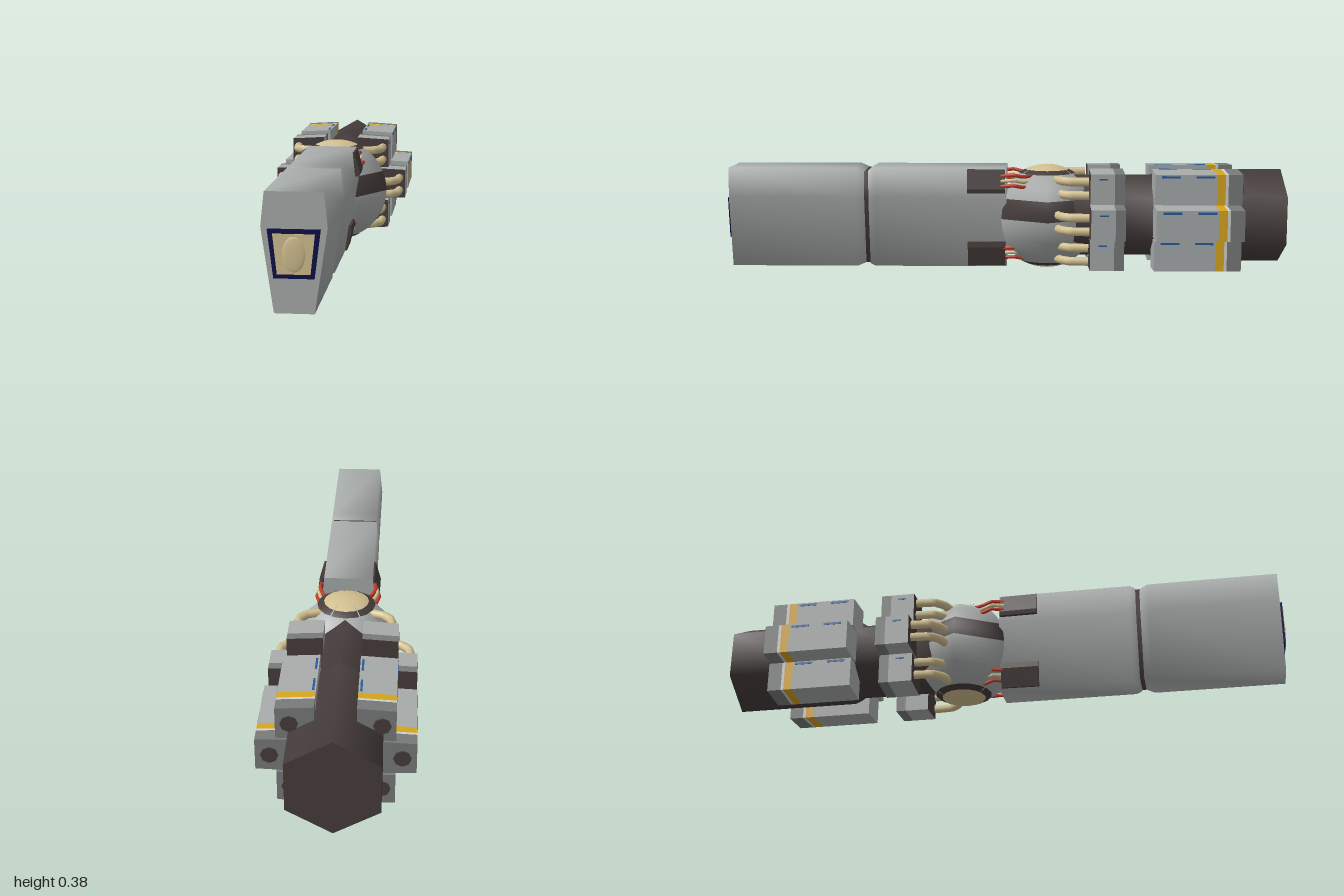
import * as THREE from 'three';

const paint = (name, color) => Object.assign(new THREE.MeshStandardMaterial({ color }), { name });
const M = {
  light: paint('light grey', 0xa7abaa), mid: paint('mid grey', 0x777a79),
  dark: paint('dark brown', 0x453c3b), tan: paint('tan', 0xd2bf90),
  navy: paint('navy', 0x0b0b48), yellow: paint('yellow', 0xd6a51e),
  pale: paint('pale grey', 0xd0d2d0), red: paint('red', 0xc23a28), blue: paint('blue', 0x2a5a9c),
};

// Loft a counter-clockwise ring [x, y] through stations [z, scale], back to front
function loft(ring, stations, cy, smooth) {
  const n = ring.length, pos = [], idx = [];
  const put = ([x, y], [z, s]) => pos.push(x * s, cy + (y - cy) * s, z);
  stations.forEach(st => ring.forEach(p => put(p, st)));
  for (let i = 0; i < stations.length - 1; i++) {
    for (let j = 0; j < n; j++) {
      const k = (j + 1) % n, a = i * n + j, b = i * n + k;
      idx.push(a, b, b + n, a, b + n, a + n);
    }
  }
  const sideCount = idx.length;
  const back = pos.length / 3;
  ring.forEach(p => put(p, stations[0]));
  ring.forEach(p => put(p, stations[stations.length - 1]));
  for (let j = 1; j < n - 1; j++) {
    idx.push(back, back + j + 1, back + j, back + n, back + n + j, back + n + j + 1);
  }
  let g = new THREE.BufferGeometry();
  g.setAttribute('position', new THREE.Float32BufferAttribute(pos, 3));
  g.setIndex(idx);
  if (!smooth) g = g.toNonIndexed();
  g.computeVertexNormals();
  g.addGroup(0, sideCount, 0);
  g.addGroup(sideCount, idx.length - sideCount, 1);
  return g;
}

function add(parent, name, geometry, material, x = 0, y = 0, z = 0) {
  const mesh = new THREE.Mesh(geometry, material);
  mesh.name = name;
  mesh.position.set(x, y, z);
  parent.add(mesh);
  return mesh;
}

const box = (w, h, d) => new THREE.BoxGeometry(w, h, d);

// Mirror a right-hand ring to the other side, keeping its winding
const mirrorRing = (ring, s) => s > 0 ? ring : ring.map(([x, y]) => [-x, y]).reverse();

function tube(points, radius) {
  const path = new THREE.CurvePath();
  const v = points.map(p => new THREE.Vector3(...p));
  for (let i = 1; i < v.length; i++) path.add(new THREE.LineCurve3(v[i - 1], v[i]));
  return new THREE.TubeGeometry(path, 12, radius, 8);
}

function trapezoid(top, bottom, y0, y1) {
  return [[-bottom, y0], [bottom, y0], [top, y1], [-top, y1]];
}

export function createModel() {
  const model = new THREE.Group();
  model.name = 'spacecraft';
  const CY = 0.19;

  // Long forward hull in two sections with a dark joint
  const prow = [[-0.06, 0.012], [0.06, 0.012], [0.098, 0.268], [0.087, 0.372], [-0.087, 0.372], [-0.098, 0.268]];
  const both = m => [m, m];
  add(model, 'prowFront', loft(prow, [[0.5, 0.93], [0.53, 1], [0.985, 1]], CY, true), both(M.light));
  add(model, 'prowRear', loft(prow, [[-0.01, 1], [0.465, 1], [0.485, 0.95]], CY, true), both(M.light));
  add(model, 'prowJoint', loft(prow, [[0.47, 0.93], [0.515, 0.93]], CY, true), both(M.dark));

  // Nose window
  add(model, 'windowFrame', loft(trapezoid(0.078, 0.06, 0.118, 0.263), [[0.984, 1], [0.993, 1]], CY), both(M.navy));
  add(model, 'windowPane', loft(trapezoid(0.062, 0.049, 0.131, 0.25), [[0.99, 1], [0.996, 1]], CY), both(M.tan));
  const lens = add(model, 'windowLens', new THREE.SphereGeometry(1, 20, 12), M.tan, 0, 0.19, 0.995);
  lens.scale.set(0.035, 0.054, 0.005);

  // Six-sided ball module with a dark belt and capped poles
  const ball = (name, mat, r, seg, t0, t1) =>
    add(model, name, new THREE.SphereGeometry(r, seg, 12, 0, Math.PI * 2, t0, t1 - t0), mat, 0, CY, -0.155);
  const belt = Math.acos(0.072 / 0.188);
  ball('ballTop', M.light, 0.188, 6, 0.3, belt);
  ball('ballBelt', M.dark, 0.188, 6, belt, Math.PI / 2);
  ball('ballBottom', M.light, 0.188, 6, Math.PI / 2, Math.PI - 0.3);
  ball('topCap', M.tan, 0.188, 16, 0, 0.43);
  ball('topRing', M.dark, 0.188, 16, 0.43, 0.57);
  ball('bottomRing', M.dark, 0.188, 16, Math.PI - 0.57, Math.PI - 0.43);
  ball('bottomCap', M.tan, 0.188, 16, Math.PI - 0.43, Math.PI);

  // Hexagonal aft hull
  const hex = Array.from({ length: 6 }, (_, i) => {
    const a = Math.PI / 6 + i * Math.PI / 3;
    return [0.168 * Math.cos(a), 0.193 + 0.168 * Math.sin(a)];
  });
  add(model, 'aftHull', loft(hex, [[-1, 1], [-0.56, 1], [-0.53, 0.88], [-0.25, 0.88]], 0.193, true), both(M.dark));

  for (const s of [-1, 1]) {
    const side = new THREE.Group();
    side.name = s > 0 ? 'leftSide' : 'rightSide';
    model.add(side);

    // Three pod rows: ring, vertical centre, centre x of the fittings, outer x
    const rows = [
      { ring: [[0.065, 0.255], [0.185, 0.255], [0.185, 0.362], [0.065, 0.369]], y: 0.309, x: 0.142, out: 0.185, top: 0.369 },
      { ring: [[0.12, 0.132], [0.25, 0.137], [0.25, 0.245], [0.12, 0.251]], y: 0.191, x: 0.205, out: 0.25, top: 0.248 },
      { ring: [[0.065, 0.012], [0.185, 0.02], [0.185, 0.126], [0.065, 0.126]], y: 0.074, x: 0.142, out: 0.185, top: 0.126 },
    ];
    rows.forEach((row, i) => {
      const ring = mirrorRing(row.ring, s);
      const slab = (name, z0, z1, mat, cap = mat) =>
        add(side, name, loft(ring, [[z0, 1], [z1, 1]], CY), [mat, cap]);

      // Large pod with bands
      slab('podBody', -0.745, -0.53, M.light);
      slab('podYellowBand', -0.775, -0.745, M.yellow);
      slab('podPaleBand', -0.785, -0.775, M.pale);
      slab('podTail', -0.835, -0.785, M.mid);
      const nozzle = add(side, 'podNozzle', new THREE.CylinderGeometry(0.028, 0.028, 0.008, 8), M.dark, s * row.x, row.y, -0.836);
      nozzle.rotation.x = Math.PI / 2;

      // Blue markings
      for (const z of [-0.585, -0.705]) {
        add(side, 'podMark', box(0.003, 0.008, 0.065), M.blue, s * row.out, row.y + 0.044, z);
        if (i === 0) add(side, 'podTopMark', box(0.007, 0.003, 0.065), M.blue, s * 0.074, 0.3685, z);
      }
      add(side, 'smallPodMark', box(0.003, 0.006, 0.03), M.blue, s * row.out, row.y + 0.035, -0.35);

      // Small forward pod
      slab('smallPodBody', -0.39, -0.305, M.light, M.dark);
      slab('smallPodTail', -0.425, -0.39, M.mid, M.dark);

      // Pair of feed pipes bending into the ball
      for (const dy of [-0.024, 0.024]) {
        const y = row.y + dy, x = row.out - 0.022;
        add(side, 'feedPipe', tube([[s * x, y, -0.3], [s * (x - 0.004), y, -0.235],
          [s * (x - 0.03), y, -0.205], [s * (x - 0.085), y, -0.185]], 0.0155), M.tan);
      }
    });

    // Dark cheek plates on the forward hull, with cables to the ball
    const plates = [
      [[0.08, 0.285], [0.11, 0.285], [0.113, 0.3], [0.094, 0.369], [0.08, 0.369]],
      [[0.05, 0.016], [0.068, 0.016], [0.085, 0.085], [0.083, 0.105], [0.05, 0.105]],
    ];
    plates.forEach((ring, i) => {
      add(side, 'cheekPlate', loft(mirrorRing(ring, s), [[-0.005, 0.99], [0.13, 1]], CY), both(M.dark));
      [M.red, M.tan, M.red].forEach((mat, k) => {
        const y = (i ? 0.045 : 0.345) + (i ? 1 : -1) * k * 0.018;
        const x = (i ? 0.064 : 0.094) + k * 0.006;
        add(side, 'cable', tube([[s * x, y, 0.01], [s * (x + 0.006), y + 0.004, -0.035],
          [s * (x - 0.005), y - 0.004, -0.07], [s * (x - 0.03), y, -0.11]], 0.0065), mat);
      });
    });
  }
  return model;
}
